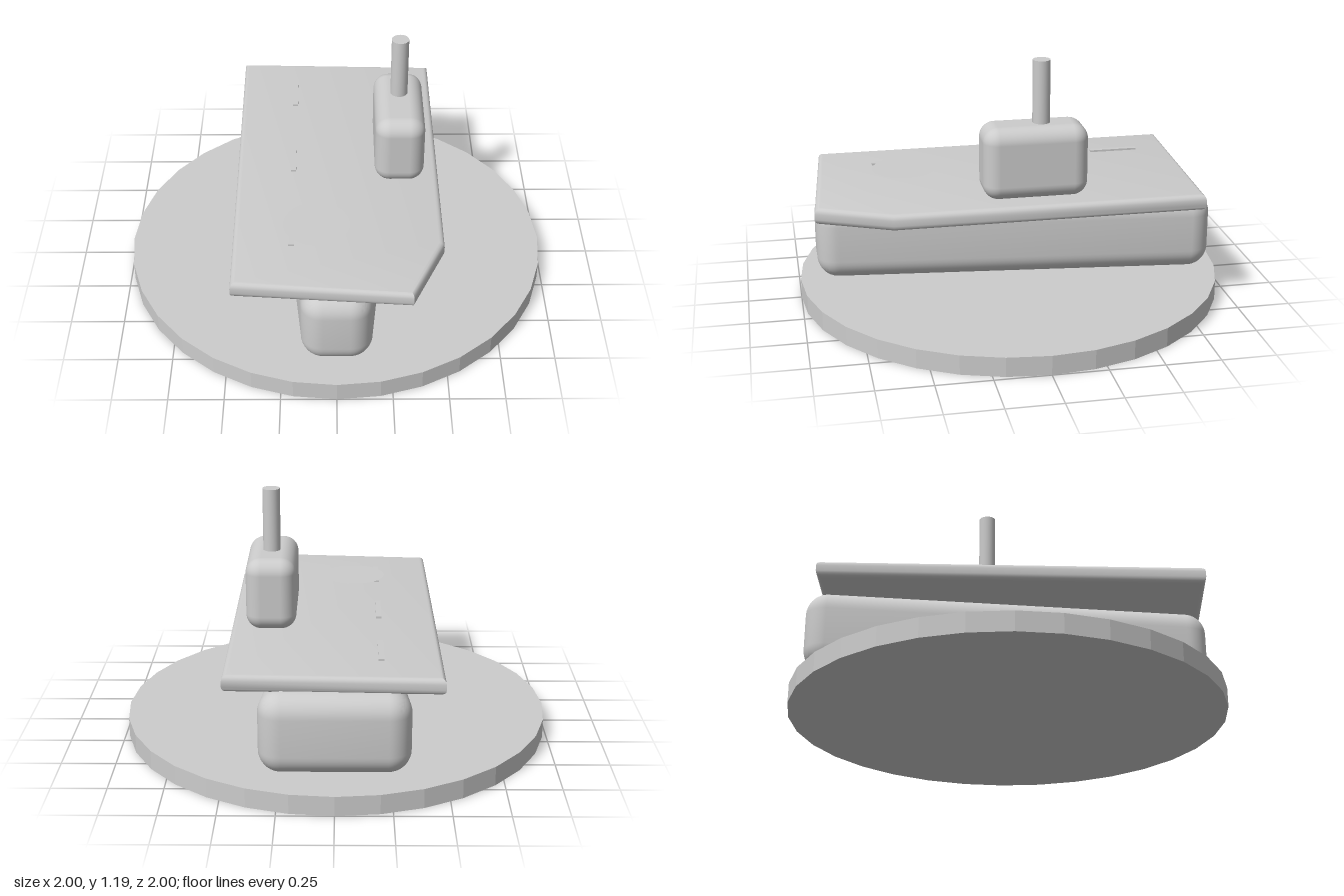
import * as THREE from 'three';
import { toCreasedNormals } from 'three/addons/utils/BufferGeometryUtils.js';
import { RoundedBoxGeometry } from 'three/addons/geometries/RoundedBoxGeometry.js';

export function createModel() {
  const group = new THREE.Group();
  const grey = new THREE.MeshStandardMaterial({ color: 0xcccccc });
  grey.name = 'light grey';

  const add = (name, geometry, x, y, z) => {
    const mesh = new THREE.Mesh(geometry, grey);
    mesh.name = name;
    mesh.position.set(x, y, z);
    group.add(mesh);
    return mesh;
  };

  // Faceted round stand
  const stand = new THREE.CylinderGeometry(1, 1, 0.09, 32);
  add('stand', toCreasedNormals(stand, 0.1), 0, 0.045, 0);

  // Hull: rounded box whose core narrows towards the bow, keeping round edges
  const r = 0.1, sternCore = 0.23, bowCore = 0.06, coreZ = 0.82;
  const hull = new RoundedBoxGeometry(0.66, 0.37, 1.84, 6, r);
  const p = hull.attributes.position;
  for (let i = 0; i < p.count; i++) {
    const x = p.getX(i);
    const z = THREE.MathUtils.clamp(p.getZ(i), -coreZ, coreZ);
    const core = THREE.MathUtils.mapLinear(z, -coreZ, coreZ, sternCore, bowCore);
    p.setX(i, x + Math.sign(x) * (core - sternCore));
  }
  add('hull', toCreasedNormals(hull, 0.6), 0, 0.315, 0);

  // Flight deck: outline in x and z, with softened edges
  const bevel = 0.025, y0 = 0.49, y1 = 0.565;
  const outline = [[-0.47, -0.86], [0.48, -0.83], [0.48, 0.6], [0.33, 0.935], [-0.46, 0.87]];
  const shape = new THREE.Shape(outline.map(([x, z]) => new THREE.Vector2(x, -z)));
  const deck = new THREE.ExtrudeGeometry(shape, {
    depth: y1 - y0 - 2 * bevel,
    bevelEnabled: true,
    bevelSize: bevel,
    bevelThickness: bevel,
    bevelOffset: -bevel,
    bevelSegments: 4,
  });
  deck.rotateX(-Math.PI / 2);
  add('flightDeck', toCreasedNormals(deck, 0.6), 0, y0 + bevel, 0);

  // Control tower and mast
  add('tower', new RoundedBoxGeometry(0.23, 0.335, 0.48, 5, 0.07), 0.295, 0.7325, -0.06);
  add('mast', new THREE.CylinderGeometry(0.04, 0.04, 0.31, 24), 0.295, 1.035, -0.095);

  // Runway dashes
  for (const z of [-0.565, -0.025, 0.515]) {
    add('runwayDash', new THREE.BoxGeometry(0.025, 0.009, 0.23), -0.2, 0.581, z);
  }

  // Landing circle
  const circle = new THREE.CircleGeometry(0.15, 32).rotateX(-Math.PI / 2);
  add('landingCircle', circle, -0.09, 0.588, 0.49);

  return group;
}
